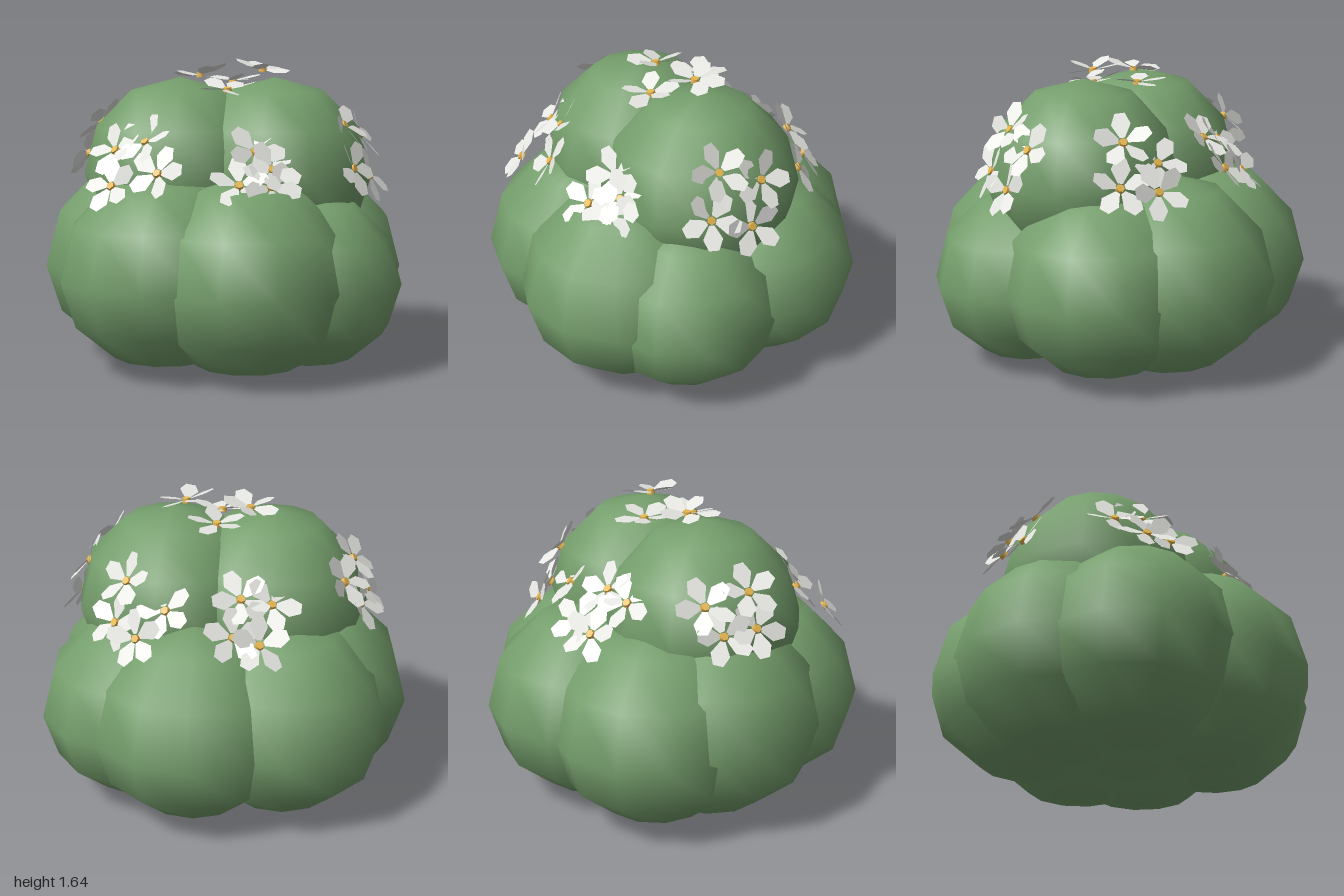
import * as THREE from 'three';
import { mergeGeometries } from 'three/addons/utils/BufferGeometryUtils.js';

const material = (name, color, side = THREE.FrontSide) => {
  const m = new THREE.MeshStandardMaterial({ color, side });
  m.name = name;
  return m;
};

// Seeded generator for small natural variations
function seeded(seed) {
  return () => {
    seed = (seed * 16807) % 2147483647;
    return seed / 2147483647;
  };
}

// Unit sphere whose lower half is slightly squashed
function makeLobe() {
  const geometry = new THREE.SphereGeometry(1, 12, 6);
  const position = geometry.attributes.position;
  for (let i = 0; i < position.count; i++) {
    if (position.getY(i) < 0) position.setY(i, position.getY(i) * 0.86);
  }
  return geometry;
}

// Five slightly raised, blunt petals around the local y axis
function makePetals(random) {
  const shape = new THREE.Shape([
    [-0.013, 0.025], [0.013, 0.025], [0.05, 0.095],
    [0.026, 0.153], [-0.026, 0.153], [-0.05, 0.095],
  ].map(([x, y]) => new THREE.Vector2(x, y)));
  const petals = [];
  for (let i = 0; i < 5; i++) {
    const petal = new THREE.ShapeGeometry(shape);
    petal.rotateX(-Math.PI / 2);
    petal.rotateZ((random() - 0.5) * 0.7);
    petal.rotateX(0.03 + random() * 0.25);
    petal.rotateY((i * Math.PI * 2) / 5);
    petals.push(petal);
  }
  return mergeGeometries(petals);
}

export function createModel() {
  const model = new THREE.Group();
  model.name = 'floweringBush';
  const leafGreen = material('leafGreen', 0x759e6c);
  const petalWhite = material('petalWhite', 0xe8e8e4, THREE.DoubleSide);
  const pollenGold = material('pollenGold', 0xecba50);
  const random = seeded(41);

  // Foliage lobes: name, centre, radius, turn in degrees
  const lobeGeometry = makeLobe();
  const lobes = [
    ['foliageCore', [0.01, 0.53, 0], 0.59, 0],
    ['frontLobe', [-0.03, 0.49, 0.43], 0.57, 0],
    ['frontLeftLobe', [0.31, 0.45, 0.37], 0.51, 15],
    ['leftLobe', [0.455, 0.485, -0.11], 0.545, 0],
    ['backLeftLobe', [0.235, 0.495, -0.39], 0.57, 13],
    ['backRightLobe', [-0.23, 0.495, -0.45], 0.57, 15],
    ['rightLobe', [-0.4, 0.515, -0.19], 0.6, 0],
    ['frontRightLobe', [-0.42, 0.505, 0.2], 0.57, 5],
    ['upperRightLobe', [-0.27, 1.015, -0.08], 0.525, 15],
    ['upperLeftLobe', [0.22, 1.015, 0.085], 0.525, 5],
  ];
  for (const [name, centre, radius, turn] of lobes) {
    const lobe = new THREE.Mesh(lobeGeometry, leafGreen);
    lobe.name = name;
    lobe.position.set(...centre);
    lobe.scale.setScalar(radius);
    lobe.rotation.y = THREE.MathUtils.degToRad(turn);
    model.add(lobe);
  }

  // Blossom clusters: name, outward direction, flower positions
  const clusters = [
    ['topBlossoms', [0, 1, 0],
      [[-0.16, 1.55, -0.07], [0.05, 1.51, -0.16], [0.16, 1.58, 0.05], [-0.06, 1.48, 0.13]]],
    ['frontBlossoms', [0, 0.62, 0.78],
      [[-0.02, 1.19, 0.52], [-0.13, 1.03, 0.61], [0.03, 1.02, 0.64], [0.05, 1.1, 0.58]]],
    ['frontLeftBlossoms', [0.72, 0.45, 0.55],
      [[0.51, 1.3, 0.38], [0.66, 1.23, 0.22], [0.53, 1.08, 0.48], [0.68, 1.02, 0.33]]],
    ['backLeftBlossoms', [0.65, 0.55, -0.55],
      [[0.55, 1.28, -0.25], [0.38, 1.15, -0.38], [0.62, 1.06, -0.26], [0.55, 1.04, -0.44]]],
    ['backBlossoms', [0, 0.7, -0.7],
      [[0.02, 1.23, -0.52], [-0.13, 1.2, -0.56], [0.1, 1.09, -0.66], [-0.02, 1.06, -0.72]]],
    ['backRightBlossoms', [-0.65, 0.6, -0.45],
      [[-0.55, 1.25, -0.48], [-0.67, 1.29, -0.27], [-0.74, 1.12, -0.3], [-0.65, 1.11, -0.46]]],
    ['frontRightBlossoms', [-0.6, 0.6, 0.5],
      [[-0.54, 1.23, 0.28], [-0.51, 1.08, 0.43], [-0.74, 1.02, 0.39], [-0.68, 1.18, 0.19]]],
  ];
  const petalVariants = [0, 1, 2, 3].map(() => makePetals(random));
  const centreGeometry = new THREE.CylinderGeometry(0.021, 0.025, 0.024, 6);
  const up = new THREE.Vector3(0, 1, 0);
  for (const [name, direction, positions] of clusters) {
    const cluster = new THREE.Group();
    cluster.name = name;
    const points = positions.map((p) => new THREE.Vector3(...p));
    const middle = new THREE.Vector3();
    points.forEach((p) => middle.addScaledVector(p, 1 / points.length));
    points.forEach((point, i) => {
      // Flowers fan outward from the middle of their cluster
      const normal = new THREE.Vector3(...direction).normalize()
        .addScaledVector(point.clone().sub(middle), 0.8).normalize();
      const flower = new THREE.Group();
      flower.name = 'flower';
      flower.position.copy(point);
      flower.quaternion.setFromUnitVectors(up, normal);
      flower.rotateY(random() * Math.PI * 2);
      const petals = new THREE.Mesh(petalVariants[i], petalWhite);
      petals.name = 'petals';
      const centre = new THREE.Mesh(centreGeometry, pollenGold);
      centre.name = 'flowerCentre';
      flower.add(petals, centre);
      cluster.add(flower);
    });
    model.add(cluster);
  }
  return model;
}
